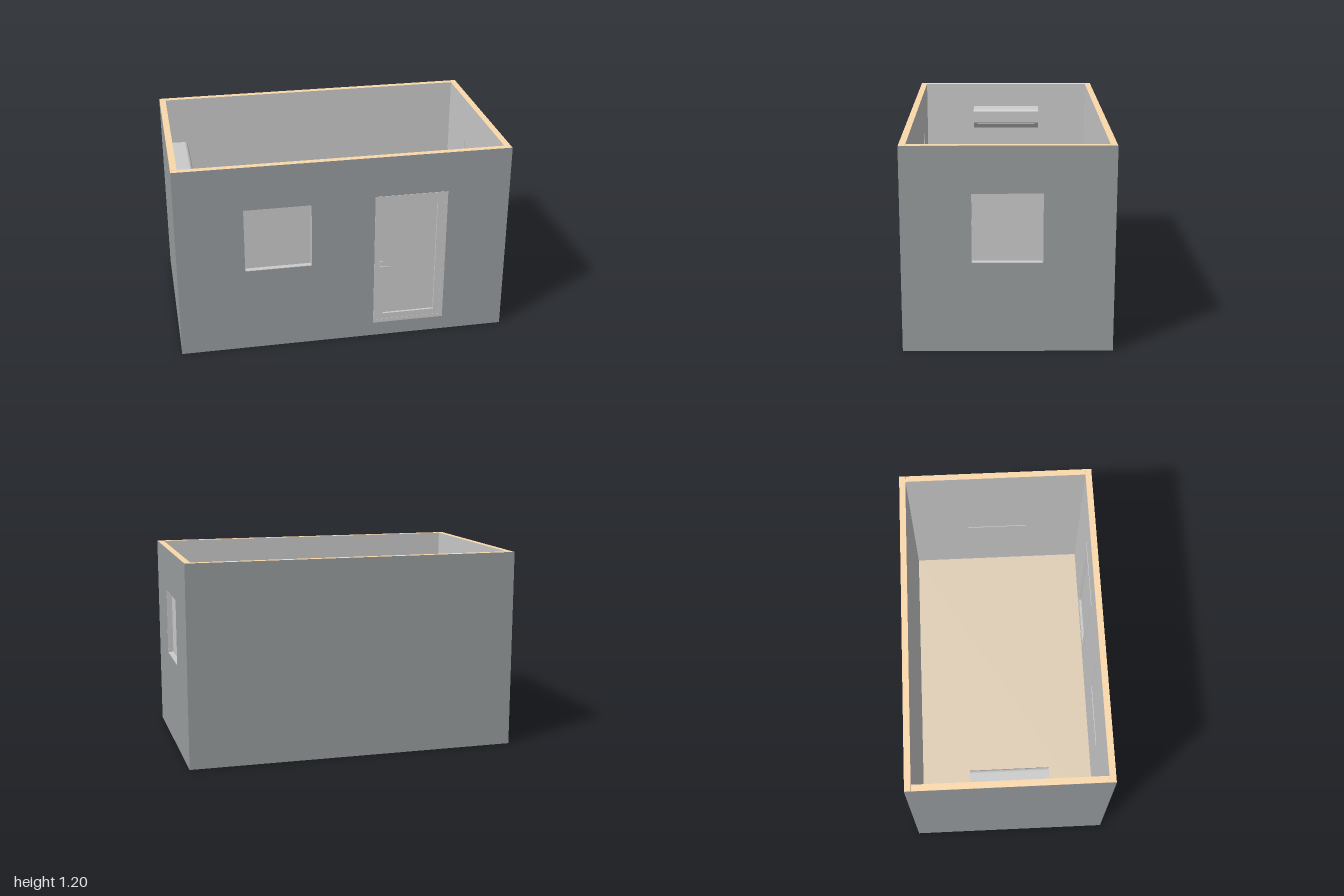
import * as THREE from 'three';

const H = 1.2, T = 0.04, SKIN = 0.001;
const Z0 = -0.612, Z1 = 0.587, ZC = (Z0 + Z1) / 2, D = Z1 - Z0;

const mat = (color, extra = {}) => new THREE.MeshStandardMaterial({ color, ...extra });
const grey = mat(0xcccccc);
const cladding = mat(0x9a9ea0);
const timber = mat(0xfbd9ab);
const flooring = mat(0xe0ceb5);

function add(parent, name, geometry, material, x = 0, y = 0, z = 0) {
  const mesh = new THREE.Mesh(geometry, material);
  mesh.name = name;
  mesh.position.set(x, y, z);
  parent.add(mesh);
  return mesh;
}

const corners = ([x0, y0, x1, y1]) =>
  [[x0, y0], [x1, y0], [x1, y1], [x0, y1]].map(([x, y]) => new THREE.Vector2(x, y));

// Rectangle [x0, y0, x1, y1] with rectangular holes
function panelShape(rect, holes = []) {
  const shape = new THREE.Shape(corners(rect));
  for (const h of holes) shape.holes.push(new THREE.Path(corners(h).reverse()));
  return shape;
}
const extrude = (shape, depth) =>
  new THREE.ExtrudeGeometry(shape, { depth, bevelEnabled: false });
const inset = ([x0, y0, x1, y1], dx, dy = dx) => [x0 + dx, y0 + dy, x1 - dx, y1 - dy];

// Wall with local +z facing outwards, outer surface at z = 0
function makeWall(name, outerHalf, coreHalf, holes) {
  const wall = new THREE.Group();
  wall.name = name;
  const innerHalf = outerHalf - T;
  add(wall, 'wallCore', extrude(panelShape([-coreHalf, 0, coreHalf, H], holes), T - 2 * SKIN),
    timber, 0, 0, -T + SKIN);
  add(wall, 'outerCladding', new THREE.ShapeGeometry(
    panelShape([-outerHalf, 0, outerHalf, H], holes)), cladding);
  // Inner lining faces the room
  const mirrored = holes.map(([x0, y0, x1, y1]) => [-x1, y0, -x0, y1]);
  add(wall, 'innerLining', new THREE.ShapeGeometry(
    panelShape([-innerHalf, 0, innerHalf, H], mirrored)), grey, 0, 0, -T).rotation.y = Math.PI;
  return wall;
}

// Reveal lining and a pane set towards the room
function addWindow(wall, rect) {
  const window = new THREE.Group();
  window.name = 'window';
  add(window, 'windowReveal', extrude(panelShape(rect, [inset(rect, 0.003)]), T), grey, 0, 0, -T);
  add(window, 'windowPane', extrude(panelShape(inset(rect, 0.002)), 0.004), grey, 0, 0, -0.036);
  wall.add(window);
}

// Frame, leaf with a sunken panel on both sides, and handles
function addDoor(wall, rect) {
  const door = new THREE.Group();
  door.name = 'door';
  const leaf = inset(rect, 0.022);
  const panel = inset(rect, 0.06, 0.06);
  add(door, 'doorFrame', extrude(panelShape(rect, [leaf]), T + 0.006), grey, 0, 0, -T - 0.003);
  add(door, 'doorLeaf', extrude(panelShape(leaf, [panel]), T + 0.003), grey, 0, 0, -T - 0.0015);
  add(door, 'doorPanel', extrude(panelShape(panel), 0.014), grey, 0, 0, -0.027);
  const x = rect[0] + 0.042;
  add(door, 'handlePlate', new THREE.BoxGeometry(0.018, 0.085, 0.006), grey, x, 0.477, 0.004);
  const path = new THREE.CatmullRomCurve3([
    [0, 0, 0.004], [0, 0, 0.016], [0.007, 0, 0.023], [0.03, 0, 0.023], [0.044, 0, 0.02],
  ].map((p) => new THREE.Vector3(...p)));
  add(door, 'doorHandle', new THREE.TubeGeometry(path, 20, 0.0035, 8), grey, x, 0.488, 0);
  wall.add(door);
}

// Wall unit: side profile extruded along z
function makeAirConditioner() {
  const unit = new THREE.Group();
  unit.name = 'airConditioner';
  const s = new THREE.Shape();
  s.moveTo(0, 0.9);
  s.lineTo(0.075, 0.9);
  s.lineTo(0.11, 0.945);
  s.lineTo(0.11, 1.02);
  s.quadraticCurveTo(0.108, 1.035, 0.09, 1.038);
  s.lineTo(0, 1.04);
  add(unit, 'unitBody', extrude(s, 0.455), grey, -1 + T, 0, -0.24);
  // Outlet flap along the lower front
  const flap = add(unit, 'outletFlap', new THREE.BoxGeometry(0.042, 0.004, 0.4), grey,
    -1 + T + 0.094, 0.921, -0.0125);
  flap.rotation.z = Math.atan2(0.045, 0.035);
  return unit;
}

export function createModel() {
  const model = new THREE.Group();
  model.name = 'cabin';

  const frontWindow = [-0.6, 0.53, -0.2, 0.93];
  const doorway = [0.18, 0.09, 0.62, 0.95];
  const sideWindow = [-0.203, 0.53, 0.197, 0.93];

  const front = makeWall('frontWall', 1, 1 - SKIN, [frontWindow, doorway]);
  front.position.z = Z1;
  addWindow(front, frontWindow);
  addDoor(front, doorway);

  const back = makeWall('backWall', 1, 1 - SKIN, []);
  back.position.z = Z0;
  back.rotation.y = Math.PI;

  const left = makeWall('leftWall', D / 2, D / 2 - T, [sideWindow]);
  left.position.set(1, 0, ZC);
  left.rotation.y = Math.PI / 2;
  addWindow(left, sideWindow);

  const right = makeWall('rightWall', D / 2, D / 2 - T, []);
  right.position.set(-1, 0, ZC);
  right.rotation.y = -Math.PI / 2;

  model.add(front, back, left, right, makeAirConditioner());

  // Floor slab raised off the ground, with a lighter covering
  const w = 2 - 2 * T, d = D - 2 * T;
  add(model, 'floorSlab', new THREE.BoxGeometry(w, 0.01, d), cladding, 0, 0.035, ZC);
  add(model, 'floorCovering', new THREE.BoxGeometry(w, 0.006, d), flooring, 0, 0.043, ZC);
  return model;
}
